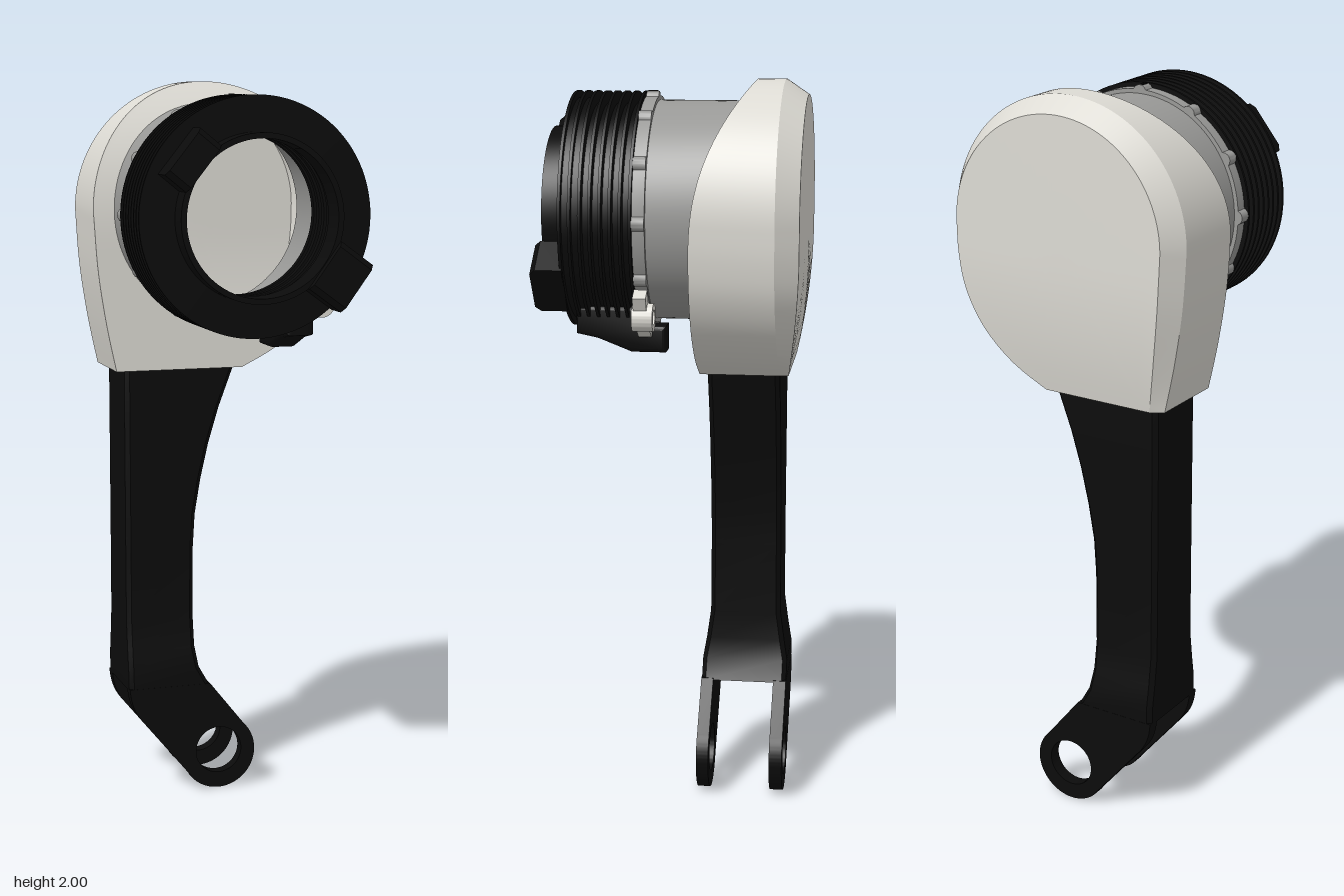
import * as THREE from 'three';
import { toCreasedNormals } from 'three/addons/utils/BufferGeometryUtils.js';

const mat = (color) => new THREE.MeshStandardMaterial({ color, side: THREE.DoubleSide });
const light = mat(0xdddbd4), grey = mat(0x999997), black = mat(0x0b0b0b);
const CY = 1.65; // height of the round head's axis
const V = (x, y, z) => new THREE.Vector3(x, y, z);

function mesh(name, geo, material, crease = 0.6) {
  const m = new THREE.Mesh(toCreasedNormals(geo, crease), material);
  m.name = name;
  return m;
}

// Skin over a list of closed rings with equal point counts
function loft(rings) {
  const n = rings[0].length, pos = [], idx = [];
  rings.forEach((r) => r.forEach((p) => pos.push(p.x, p.y, p.z)));
  for (let i = 0; i < rings.length - 1; i++) {
    for (let j = 0; j < n; j++) {
      const a = i * n + j, b = i * n + (j + 1) % n, c = a + n, d = b + n;
      idx.push(a, c, b, b, c, d);
    }
  }
  const g = new THREE.BufferGeometry();
  g.setAttribute('position', new THREE.Float32BufferAttribute(pos, 3));
  g.setIndex(idx);
  return g;
}

// Closed [radius, z] profile turned around the head's axis
function turned(name, profile, material) {
  const pts = [...profile, profile[0]].map(([r, z]) => new THREE.Vector2(r, z));
  const g = new THREE.LatheGeometry(pts, 96).rotateX(Math.PI / 2).translate(0, CY, 0);
  return mesh(name, g, material);
}

function slab(name, shape, z0, z1, material) {
  const g = new THREE.ExtrudeGeometry(shape, { depth: z1 - z0, bevelEnabled: false, curveSegments: 32 });
  return mesh(name, g.translate(0, 0, z0), material);
}

// Teardrop shell: curved front with a round opening, chamfered back
function housing() {
  const spline = (pts, n) => new THREE.SplineCurve(pts.map((p) => new THREE.Vector2(...p))).getPoints(n);
  const out = [];
  for (let i = 0; i < 64; i++) {
    const a = (i / 64) * Math.PI;
    out.push(new THREE.Vector2(0.35 * Math.cos(a), CY + 0.35 * Math.sin(a)));
  }
  out.push(...spline([[-0.35, CY], [-0.34, 1.5], [-0.318, 1.35], [-0.29, 1.215]], 16));
  for (let i = 1; i < 12; i++) out.push(new THREE.Vector2(-0.29 + 0.03 * i, 1.215));
  out.push(...spline([[0.07, 1.215], [0.18, 1.275], [0.27, 1.36], [0.325, 1.46], [0.346, 1.56], [0.35, CY]], 20).slice(0, -1));

  const frontZ = (y) => -0.07 - 0.145 * Math.pow(Math.max(0, (y - 1.55) / 0.45), 2.5);
  const backZ = (y) => -0.35 + 0.04 * Math.pow(Math.max(0, (1.58 - y) / 0.365), 2);
  const rings = [];
  for (let k = 0; k <= 4; k++) {
    rings.push(out.map((p) => {
      const a = Math.atan2(p.y - CY, p.x), t = k / 4;
      const x = THREE.MathUtils.lerp(0.285 * Math.cos(a), p.x, t);
      const y = THREE.MathUtils.lerp(CY + 0.285 * Math.sin(a), p.y, t);
      return V(x, y, frontZ(y));
    }));
  }
  rings.push(out.map((p) => V(p.x, p.y, -0.29)));
  const inset = out.map((p) => new THREE.Vector2(p.x * 0.885, p.y > CY ? CY + (p.y - CY) * 0.885 : p.y));
  for (let k = 0; k <= 8; k++) {
    const s = 1 - k / 8;
    rings.push(inset.map((p) => {
      const y = CY + (p.y - CY) * s;
      return V(p.x * s, y, backZ(y));
    }));
  }
  return mesh('housing', loft(rings), light, 0.4);
}

// Arm: rectangular sections [y, left x, right x, half depth]
function arm() {
  const g = new THREE.Group();
  g.name = 'arm';
  const zc = -0.1865;
  const rows = [
    [0.305, -0.26, -0.025, 0.12], [0.36, -0.261, -0.056, 0.12], [0.42, -0.261, -0.066, 0.11],
    [0.5, -0.261, -0.067, 0.099], [0.7, -0.261, -0.066, 0.098], [0.8, -0.261, -0.06, 0.098],
    [0.9, -0.261, -0.043, 0.098], [1.0, -0.261, -0.02, 0.098], [1.1, -0.261, 0.01, 0.098],
    [1.215, -0.261, 0.053, 0.098], [1.34, -0.25, 0.07, 0.098],
  ];
  const rings = rows.map(([y, l, r, h]) => {
    const b = 0.012;
    return [[r, -h + b], [r, h - b], [r - b, h], [l + b, h], [l, h - b], [l, -h + b], [l + b, -h], [r - b, -h]]
      .map(([x, z]) => V(x, y, zc + z));
  });
  const cap = (y) => Array.from({ length: 8 }, () => V(-0.13, y, zc));
  g.add(mesh('armBeam', loft([cap(0.305), ...rings, cap(1.34)]), black, 0.5));

  // Fork prongs with pivot holes
  const s = new THREE.Shape();
  s.moveTo(-0.025, 0.31);
  s.lineTo(-0.26, 0.31);
  s.quadraticCurveTo(-0.258, 0.255, -0.225, 0.215);
  s.lineTo(-0.08, 0.038);
  s.absarc(0, 0.107, 0.107, Math.PI * 1.225, Math.PI * 2.25, false);
  s.lineTo(-0.025, 0.31);
  s.holes.push(new THREE.Path().absarc(0, 0.112, 0.067, 0, Math.PI * 2, true));
  g.add(slab('frontProng', s, -0.1, -0.066, black), slab('backProng', s, -0.307, -0.271, black));
  return g;
}

// Finned barrel, front rim and the two diagonal lugs
function barrel() {
  const g = new THREE.Group();
  g.name = 'barrel';
  const p = [[0.24, 0.08]];
  for (let i = 0; i < 8; i++) {
    const z = 0.08 + i * 0.0262, core = i < 5 ? 0.283 : 0.296;
    p.push([0.315, z], [0.315, z + 0.008]);
    if (i < 7) p.push([core, z + 0.008], [core, z + 0.0262]);
  }
  p.push([0.22, 0.272], [0.22, 0.33], [0.205, 0.33], [0.205, 0.25]);
  for (let i = 0; i < 4; i++) p.push([0.225, 0.25 - i * 0.04], [0.225, 0.23 - i * 0.04], [0.215, 0.23 - i * 0.04], [0.215, 0.21 - i * 0.04]);
  g.add(turned('fins', p, black));

  for (const [angle, r] of [[Math.PI * 0.785, 0.278], [-Math.PI * 0.2, 0.315]]) {
    const s = new THREE.Shape([[-0.075, 0.265], [0.075, 0.265], [0.075, 0.335], [0.06, 0.35], [-0.06, 0.35], [-0.075, 0.335]]
      .map((q) => new THREE.Vector2(...q)));
    const geo = new THREE.ExtrudeGeometry(s, { depth: r - 0.207, bevelEnabled: false });
    // profile height becomes z, extrusion runs radially
    geo.applyMatrix4(new THREE.Matrix4().makeBasis(V(0, 1, 0), V(0, 0, 1), V(1, 0, 0)));
    geo.translate(0.207, 0, 0).rotateZ(angle).translate(0, CY, 0);
    g.add(mesh('rimLug', geo, black));
  }

  // Clamp block under the barrel
  const c = new THREE.Shape([[0.02, 1.3], [0.1, 1.3], [0.19, 1.335], [0.24, 1.345], [0.24, 1.4], [0.06, 1.4], [0.06, 1.35], [0.02, 1.35]]
    .map((q) => new THREE.Vector2(...q)));
  const clamp = new THREE.ExtrudeGeometry(c, { depth: 0.056, bevelSize: 0.01, bevelThickness: 0.01, bevelSegments: 3 });
  g.add(mesh('clampBlock', clamp.rotateY(-Math.PI / 2).translate(0.158, 0, 0), black));
  return g;
}

// Neck tube, collar with bolt tabs, and the side eyelet
function neck() {
  const g = new THREE.Group();
  g.name = 'neck';
  g.add(turned('neckTube', [[0.292, -0.19], [0.292, 0.05], [0.27, 0.05], [0.27, -0.19]], grey));
  g.add(turned('collar', [[0.303, 0.047], [0.303, 0.08], [0.235, 0.08], [0.235, 0.047]], grey));
  for (let i = 0; i < 12; i++) {
    const tab = new THREE.CylinderGeometry(0.02, 0.02, 0.033, 16).rotateX(Math.PI / 2);
    tab.translate(0.295, 0, 0.0635).rotateZ((i * Math.PI) / 6).translate(0, CY, 0);
    g.add(mesh('boltTab', tab, grey));
  }
  const key = new THREE.BoxGeometry(0.008, 0.02, 0.026).translate(-0.003, CY + 0.307, 0.064);
  g.add(mesh('collarKey', key, black));

  const eye = new THREE.Shape().absarc(0.25, 1.4, 0.037, 0, Math.PI * 2, false);
  eye.holes.push(new THREE.Path().absarc(0.25, 1.4, 0.02, 0, Math.PI * 2, true));
  g.add(slab('eyelet', eye, 0.03, 0.085, light));
  for (const [x, y, a, len] of [[0.195, 1.367, 0.55, 0.06], [0.268, 1.443, 1.1, 0.05]]) {
    const bar = new THREE.BoxGeometry(len, 0.04, 0.035).rotateZ(a).translate(x, y, 0.063);
    g.add(mesh('eyeletArm', bar, light));
  }
  return g;
}

export function createModel() {
  const model = new THREE.Group();
  model.name = 'armWithHead';
  model.add(housing(), arm(), neck(), barrel());
  return model;
}
